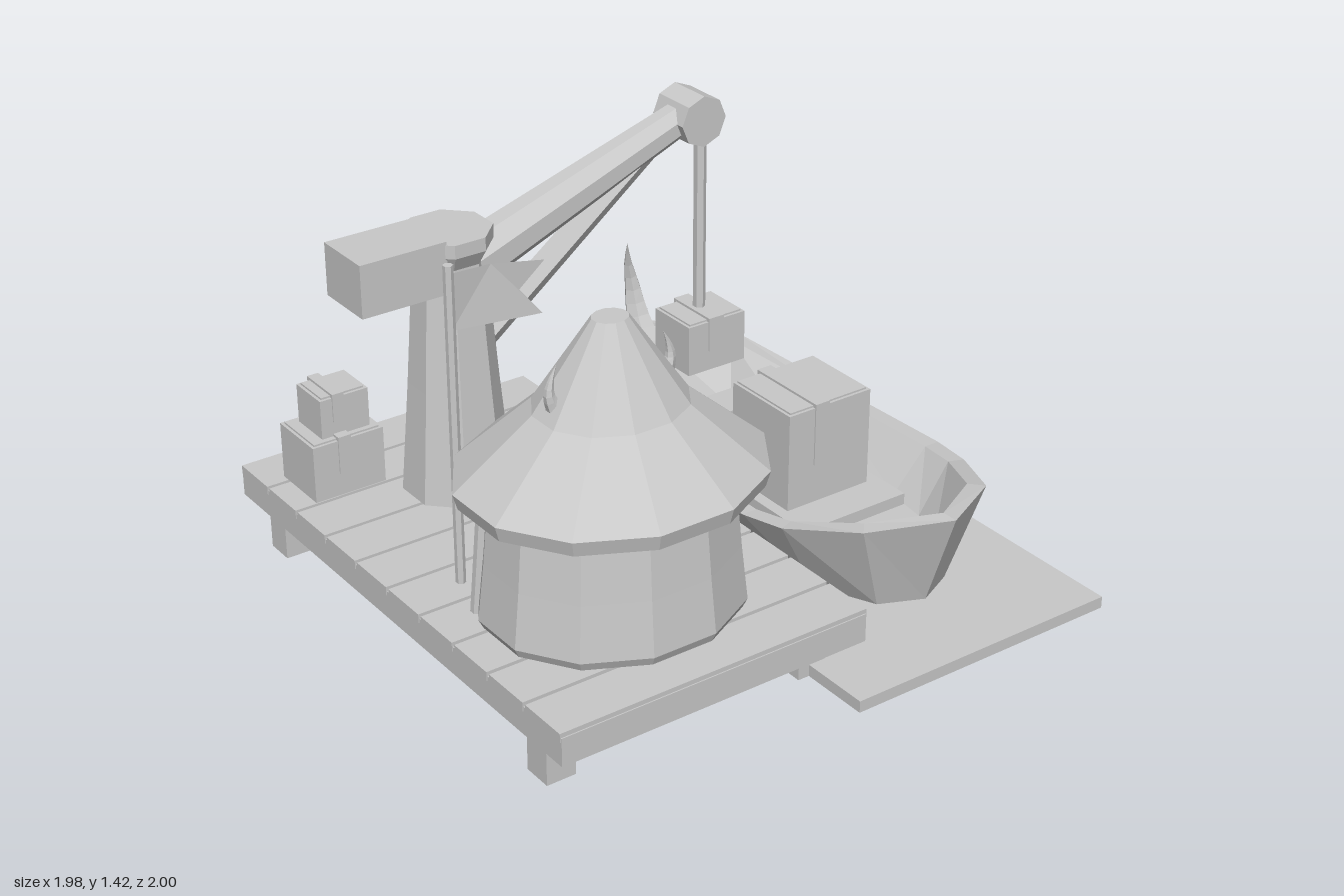
import * as THREE from 'three';

const grey = new THREE.MeshStandardMaterial({ color: 0xc8c8c8, flatShading: true, side: THREE.DoubleSide });
grey.name = 'plain grey';

export function createModel() {
  const root = new THREE.Group();
  root.name = 'harbourDock';

  const add = (name, geo, parent = root) => {
    const m = new THREE.Mesh(geo, grey);
    m.name = name;
    parent.add(m);
    return m;
  };
  const group = (name) => {
    const g = new THREE.Group();
    g.name = name;
    root.add(g);
    return g;
  };
  // box from its minimum and maximum on each axis
  const box = (name, x0, x1, y0, y1, z0, z1, parent) => {
    const m = add(name, new THREE.BoxGeometry(x1 - x0, y1 - y0, z1 - z0), parent);
    m.position.set((x0 + x1) / 2, (y0 + y1) / 2, (z0 + z1) / 2);
    return m;
  };
  // box without its underside
  const openBox = (...args) => {
    const m = box(...args);
    const idx = Array.from(m.geometry.index.array);
    idx.splice(18, 6);
    m.geometry.setIndex(idx);
    m.geometry.clearGroups();
    return m;
  };
  // tapered bar between two points
  const bar = (name, a, b, ra, rb, sides, parent, twist = 0) => {
    const p = new THREE.Vector3(...a), q = new THREE.Vector3(...b);
    const d = q.clone().sub(p);
    const m = add(name, new THREE.CylinderGeometry(rb, ra, d.length(), sides, 1, false, twist), parent);
    m.position.copy(p).add(q).multiplyScalar(0.5);
    m.quaternion.setFromUnitVectors(new THREE.Vector3(0, 1, 0), d.normalize());
    return m;
  };
  // faceted solid of revolution; profile gives [half width across flats, y]
  const turned = (name, profile, sides, parent) => {
    const k = 1 / Math.cos(Math.PI / sides);
    const pts = profile.map(([r, y]) => new THREE.Vector2(r * k, y));
    return add(name, new THREE.LatheGeometry(pts, sides, Math.PI / sides), parent);
  };
  // curved horn tapering to a point
  const horn = (name, pts, r, parent) => {
    const curve = new THREE.CatmullRomCurve3(pts.map((p) => new THREE.Vector3(...p)));
    const n = 8, sides = 6;
    const geo = new THREE.TubeGeometry(curve, n, r, sides);
    const pos = geo.attributes.position, v = new THREE.Vector3();
    for (let i = 0; i < pos.count; i++) {
      const t = Math.floor(i / (sides + 1)) / n;
      const c = curve.getPointAt(t);
      v.fromBufferAttribute(pos, i).sub(c).multiplyScalar(1 - t).add(c);
      pos.setXYZ(i, v.x, v.y, v.z);
    }
    return add(name, geo, parent);
  };
  // crate with a thin lid and a strap over the top and down both faces
  const crate = (name, x0, x1, y0, y1, z0, z1, strapX, strapW, parent = root) => {
    const g = new THREE.Group();
    g.name = name;
    parent.add(g);
    box('crateBody', x0, x1, y0, y1, z0, z1, g);
    box('crateLid', x0 + 0.01, x1 - 0.01, y1, y1 + 0.006, z0 + 0.01, z1 - 0.01, g);
    box('crateStrap', strapX - strapW / 2, strapX + strapW / 2, y0 + (y1 - y0) * 0.4, y1 + 0.014, z0 - 0.005, z1 + 0.005, g);
  };

  // water slab
  openBox('water', 0, 0.99, 0, 0.04, -1, 1);

  // dock with planks and posts
  const dock = group('dock');
  box('dockBase', -0.987, 0.1, 0.16, 0.255, -0.972, 0.897, dock);
  const pitch = 1.875 / 10;
  for (let i = 0; i < 10; i++) {
    const z = -0.975 + i * pitch;
    box('plank', -0.99, 0.104, 0.24, 0.27, z + 0.007, z + pitch - 0.007, dock);
  }
  for (const x of [-0.9, 0.01]) {
    for (const z of [-0.82, 0.71]) openBox('dockPost', x - 0.05, x + 0.05, 0, 0.17, z - 0.05, z + 0.05, dock);
  }

  // round hut
  const hut = group('hut');
  hut.position.set(-0.477, 0, 0.412);
  hut.scale.z = 0.89;
  turned('hutWall', [[0, 0.265], [0.395, 0.27], [0.41, 0.3], [0.39, 0.48], [0.37, 0.7]], 12, hut);
  turned('hutRoof', [[0, 0.685], [0.458, 0.685], [0.472, 0.735], [0.235, 0.94], [0.055, 1.21], [0, 1.21]], 12, hut);
  for (const s of [-1, 1]) {
    horn('roofHorn', [[s * 0.19, 0.97, 0], [s * 0.21, 1.02, 0], [s * 0.205, 1.06, 0], [s * 0.185, 1.11, 0]], 0.028, hut);
    bar('wallRib', [s * 0.36, 0.27, -0.207], [s * 0.33, 0.69, -0.19], 0.022, 0.022, 6, hut);
  }

  // door at the back of the hut
  const door = group('door');
  box('doorPanel', -0.61, -0.35, 0.27, 0.64, 0.015, 0.1, door);
  box('doorLintel', -0.64, -0.32, 0.635, 0.675, -0.01, 0.1, door);
  for (const x of [-0.64, -0.35]) box('doorJamb', x, x + 0.03, 0.27, 0.64, 0, 0.1, door);
  box('doorHandle', -0.41, -0.385, 0.43, 0.47, -0.003, 0.02, door);

  // flag
  const flag = group('flag');
  bar('flagPole', [-0.79, 0.27, 0.06], [-0.79, 1.32, 0.06], 0.016, 0.016, 6, flag);
  const cloth = new THREE.Shape([[0, 1.29], [0.15, 1.275], [0.32, 1.25], [0.24, 1.17], [0.31, 1.08], [0.15, 1.095], [0, 1.11]]
    .map((p) => new THREE.Vector2(...p)));
  const clothGeo = new THREE.ShapeGeometry(cloth);
  const cp = clothGeo.attributes.position;
  for (let i = 0; i < cp.count; i++) cp.setZ(i, -0.02 * Math.sin(cp.getX(i) * 10));
  add('flagCloth', clothGeo, flag).position.set(-0.785, 0, 0.06);

  // crane
  const crane = group('crane');
  turned('craneTower', [[0, 0.265], [0.165, 0.27], [0.135, 0.65], [0.106, 1.07], [0.132, 1.12], [0.132, 1.165], [0, 1.165]], 8, crane)
    .position.set(-0.475, 0, -0.465);
  box('counterweight', -0.847, -0.545, 1.0, 1.176, -0.568, -0.355, crane);
  bar('boom', [-0.48, 1.007, -0.46], [0.42, 1.342, -0.445], 0.092, 0.056, 8, crane, Math.PI / 8);
  bar('brace', [-0.45, 0.7, -0.46], [0.28, 1.27, -0.447], 0.046, 0.04, 6, crane);
  bar('pulley', [0.43, 1.335, -0.523], [0.43, 1.335, -0.363], 0.086, 0.086, 8, crane);
  bar('rope', [0.47, 0.64, -0.438], [0.47, 1.34, -0.438], 0.021, 0.021, 6, crane);
  crate('hangingCrate', 0.355, 0.585, 0.455, 0.632, -0.527, -0.337, 0.465, 0.06, crane);

  // crates stacked on the dock
  crate('lowerCrate', -0.912, -0.658, 0.27, 0.465, -0.825, -0.61, -0.8, 0.045);
  crate('upperCrate', -0.862, -0.69, 0.465, 0.605, -0.79, -0.638, -0.8, 0.04);

  // boat hull: half outlines [x, y, z] from bow to stern, mirrored into rings
  const boat = group('boat');
  boat.position.x = 0.515;
  const halves = [
    [[0, 0.065, -0.73], [0.16, 0.05, -0.58], [0.25, 0.05, -0.22], [0.25, 0.045, 0.27], [0.23, 0.045, 0.42], [0.14, 0.05, 0.63], [0, 0.055, 0.7]],
    [[0, 0.4, -0.915], [0.3, 0.35, -0.69], [0.4, 0.288, -0.24], [0.405, 0.3, 0.28], [0.375, 0.315, 0.44], [0.25, 0.37, 0.68], [0, 0.395, 0.818]],
    [[0, 0.4, -0.86], [0.25, 0.35, -0.64], [0.345, 0.288, -0.24], [0.35, 0.3, 0.28], [0.325, 0.315, 0.42], [0.21, 0.37, 0.635], [0, 0.395, 0.76]],
    [[0, 0.16, -0.71], [0.165, 0.16, -0.53], [0.22, 0.16, -0.24], [0.22, 0.16, 0.28], [0.2, 0.16, 0.43], [0.11, 0.16, 0.6], [0, 0.16, 0.65]],
  ];
  const rings = halves.map((h) => [...h, ...h.slice(1, -1).reverse().map(([x, y, z]) => [-x, y, z])]);
  const verts = [], n = rings[0].length;
  const tri = (...p) => p.forEach((v) => verts.push(...v));
  for (let k = 0; k < n; k++) {
    const j = (k + 1) % n;
    for (let i = 0; i < 3; i++) {
      const [a, b, c, d] = [rings[i][k], rings[i][j], rings[i + 1][j], rings[i + 1][k]];
      tri(a, d, c);
      tri(a, c, b);
    }
    tri([0, 0.05, 0], rings[0][k], rings[0][j]);
    tri([0, 0.16, 0], rings[3][j], rings[3][k]);
  }
  const hull = new THREE.BufferGeometry();
  hull.setAttribute('position', new THREE.Float32BufferAttribute(verts, 3));
  hull.computeVertexNormals();
  add('hull', hull, boat);

  // boat fittings
  box('deck', -0.21, 0.21, 0.15, 0.2, -0.35, 0.345, boat);
  box('bench', -0.268, 0.268, 0.22, 0.26, -0.485, -0.35, boat);
  horn('bowHorn', [[0, 0.34, -0.81], [0.005, 0.43, -0.865], [0, 0.54, -0.89], [-0.02, 0.63, -0.885], [-0.042, 0.72, -0.857]], 0.06, boat);
  crate('deckCrate', -0.17, 0.16, 0.2, 0.542, -0.082, 0.213, -0.04, 0.055, boat);

  return root;
}
